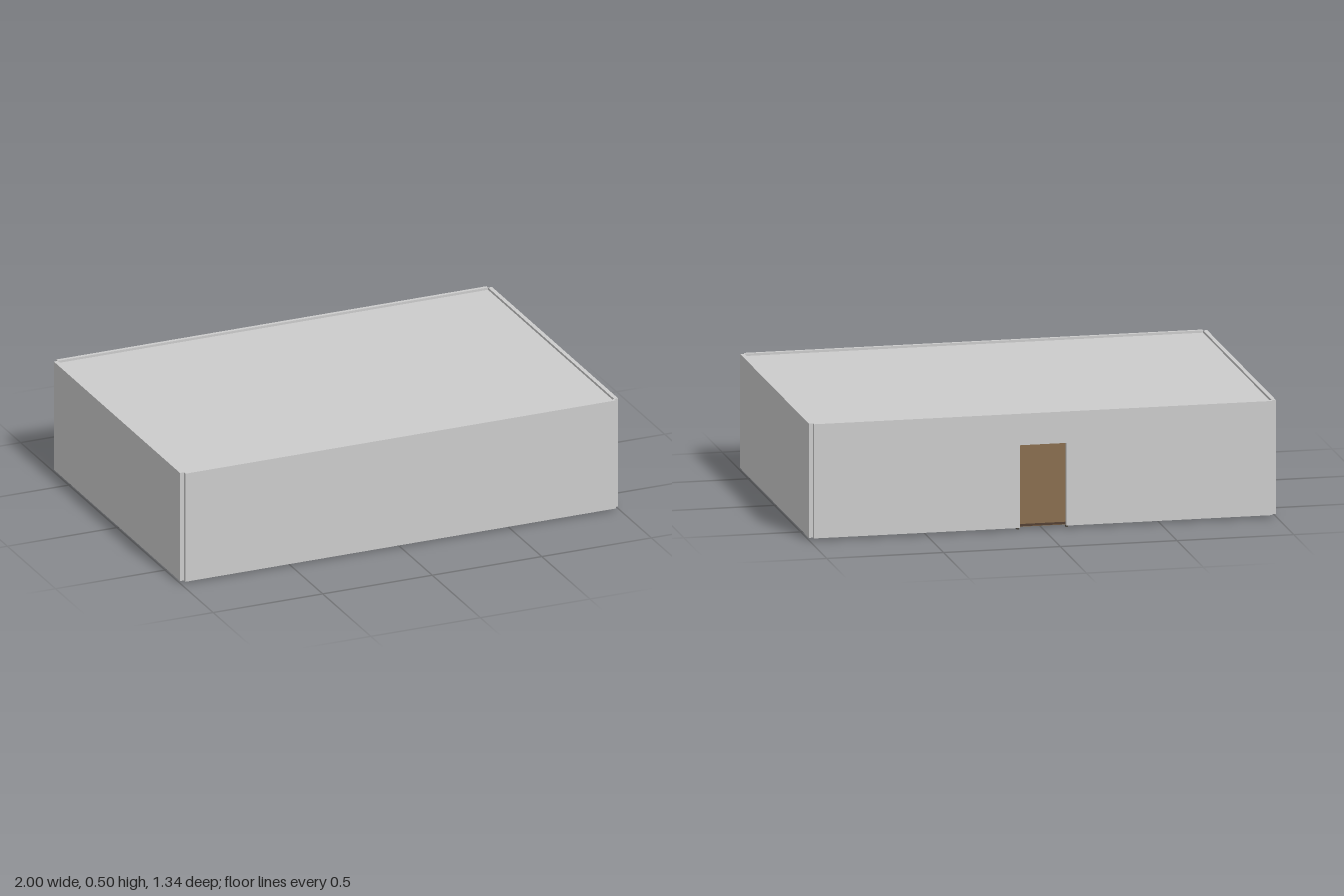
import * as THREE from 'three';

export function createModel() {
  const room = new THREE.Group();
  room.name = 'room';
  const mat = (color) => new THREE.MeshStandardMaterial({ color, roughness: 0.9 });
  const grey = mat(0xcccccc), doorWood = mat(0x886d4d), floorWood = mat(0x503d2e), dark = mat(0x45423a);

  // Box given by its lower and upper limits on each axis
  function block(name, [x0, x1], [y0, y1], [z0, z1], material = grey, parent = room) {
    const mesh = new THREE.Mesh(new THREE.BoxGeometry(x1 - x0, y1 - y0, z1 - z0), material);
    mesh.position.set((x0 + x1) / 2, (y0 + y1) / 2, (z0 + z1) / 2);
    mesh.name = name;
    parent.add(mesh);
    return mesh;
  }

  const base = 0.01, top = 0.5;
  const innerX = 0.982, outerX = 1, innerZ = 0.656, outerZ = 0.672;
  const doorHalf = 0.1, doorTop = 0.365;

  // Walls meet only at their inner edges, leaving a notch at each corner
  block('frontWall', [-innerX, innerX], [base, top], [innerZ, outerZ]);
  block('leftWall', [innerX, outerX], [base, top], [-innerZ, innerZ]);
  block('rightWall', [-outerX, -innerX], [base, top], [-innerZ, innerZ]);

  // Back wall with a doorway cut into its lower edge
  const outline = new THREE.Shape([
    [-innerX, base], [-doorHalf, base], [-doorHalf, doorTop], [doorHalf, doorTop],
    [doorHalf, base], [innerX, base], [innerX, top], [-innerX, top],
  ].map(([x, y]) => new THREE.Vector2(x, y)));
  const backWall = new THREE.Mesh(
    new THREE.ExtrudeGeometry(outline, { depth: outerZ - innerZ, bevelEnabled: false }), grey);
  backWall.position.z = -outerZ;
  backWall.name = 'backWall';
  room.add(backWall);

  // Ceiling and floor sit slightly inside the wall edges
  block('ceiling', [-innerX, innerX], [0.475, 0.49], [-innerZ, innerZ]);
  block('floor', [-innerX, innerX], [0.013, 0.022], [-innerZ, innerZ], floorWood);

  // Door panel and its frame, just behind the back wall
  const door = new THREE.Group();
  door.name = 'door';
  room.add(door);
  block('doorPanel', [-doorHalf, doorHalf], [base, doorTop], [-0.651, -0.643], doorWood, door);
  for (const s of [-1, 1]) {
    const x = s * 0.105;
    block(s > 0 ? 'leftDoorPost' : 'rightDoorPost', [x - 0.005, x + 0.005], [0, doorTop + 0.01], [-0.655, -0.641], dark, door);
  }
  block('doorLintel', [-doorHalf, doorHalf], [doorTop, doorTop + 0.01], [-0.655, -0.641], dark, door);

  // Low furniture along the left wall, its base showing through the floor
  block('counter', [0.68, 0.82], [0.0125, 0.16], [-0.4, 0.62], dark);
  block('shelf', [0.88, 0.94], [0.0125, 0.3], [0.1, 0.56], dark);

  return room;
}
